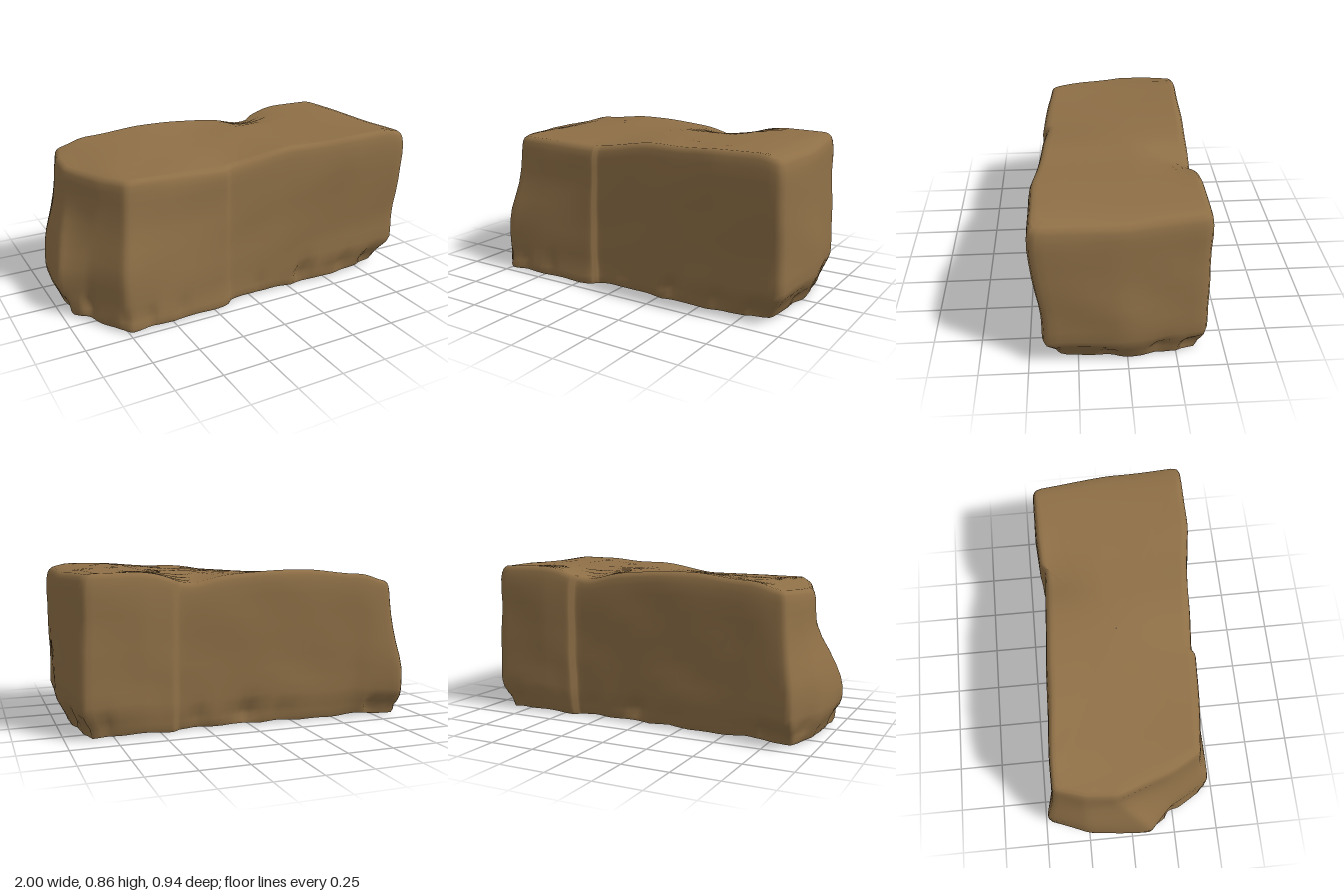
import * as THREE from 'three';

// Plan outlines [x, z] at the foot, the waist and the top, with matching corners.
const FOOT = [[-.76, .475], [-.5, .465], [-.165, .445], [-.125, .405], [.2, .4], [.6, .415], [.9, .355], [.935, 0], [.88, -.365],
  [.6, -.38], [.44, -.37], [.4, -.34], [0, -.36], [-.6, -.38], [-.88, -.41], [-.94, -.2], [-.96, .13], [-.87, .27]];
const WAIST = [[-.76, .455], [-.5, .45], [-.17, .435], [-.135, .405], [.2, .41], [.6, .43], [.975, .425], [1, .02], [.925, -.4],
  [.6, -.4], [.44, -.39], [.4, -.355], [0, -.375], [-.6, -.4], [-.885, -.48], [-.975, -.25], [-1.005, .1], [-.88, .23]];
const TOP = [[-.71, .375], [-.5, .4], [-.165, .42], [-.13, .40], [.2, .42], [.6, .47], [.975, .465], [.97, .05], [.91, -.4],
  [.6, -.405], [.44, -.395], [.4, -.365], [0, -.385], [-.6, -.41], [-.83, -.415], [-.88, -.25], [-.89, -.08], [-.8, .2]];
const N = 180;

// Resample an outline evenly between corners, softening each corner slightly.
function resample(points) {
  const per = N / points.length, raw = [];
  for (let i = 0; i < N; i++) {
    const k = Math.floor(i / per), f = (i % per) / per;
    const a = points[k], b = points[(k + 1) % points.length];
    raw.push([a[0] + (b[0] - a[0]) * f, a[1] + (b[1] - a[1]) * f]);
  }
  return raw.map((p, i) => {
    const a = raw[(i + N - 1) % N], b = raw[(i + 1) % N];
    return [0, 1].map(c => (a[c] + 2 * p[c] + b[c]) / 4);
  });
}

// Smooth deterministic unevenness, about -1 to 1, and chips along the lower edge.
const bump = (x, y, z) => (Math.sin(7 * x + 4 * y + 2 * z) + Math.sin(13 * x - 9 * y + 11 * z + 1)
  + Math.sin(19 * y - 5 * x - 8 * z + 2)) / 3;
const chips = (x, z) => Math.max(0, Math.sin(15 * x + 6 * z) * Math.sin(23 * z - 9 * x + 1) + .35 * Math.sin(41 * x + 31 * z));
const step = THREE.MathUtils.smoothstep;

// Height of the uneven upper face, with a hollow beside the step in the back.
function topHeight(x, z) {
  const back = THREE.MathUtils.clamp(.5 - z / .8, 0, 1);
  const left = .785 + back * (.03 * step(x, -.8, -.62) + .035 * step(x, -.65, -.3));
  const right = .84 + .02 * step(x, .35, .65) - .012 * back;
  return left + (right - left) * step(x, -.2, .25) - .02 * step(-x, .68, .85)
    - .025 * step(x, .84, .98) - .045 * Math.exp(-Math.pow((x - .33) / .13, 2)) * step(-z, .05, .36)
    + .005 * bump(x * .7, 0, z);
}

// Join closed rings of equal length; rings run counterclockwise seen from above.
function loft(rings) {
  const index = [];
  for (let r = 0; r < rings.length - 1; r++) for (let i = 0; i < N; i++) {
    const a = r * N + i, b = r * N + (i + 1) % N;
    index.push(a, b, b + N, a, b + N, a + N);
  }
  const geometry = new THREE.BufferGeometry();
  geometry.setAttribute('position', new THREE.Float32BufferAttribute(rings.flat(2), 3));
  geometry.setIndex(index);
  geometry.computeVertexNormals();
  return geometry;
}

export function createModel() {
  const foot = resample(FOOT), waist = resample(WAIST), top = resample(TOP);

  // One ring of the sides: t is the share of the height, inset rounds the edge.
  const sideRing = (t, inset) => foot.map((f, i) => {
    const from = t < .27 ? f : waist[i], to = t < .27 ? waist[i] : top[i];
    const k = t < .27 ? step(t, 0, .2) : step(t, .27, .85);
    let x = from[0] + (to[0] - from[0]) * k, z = from[1] + (to[1] - from[1]) * k;
    const low = Math.exp(-Math.pow((t - .07) / .07, 2));
    const cut = inset + .006 * bump(x, t, z) + .035 * low * chips(x, z);
    const length = Math.hypot(x / 2, z);
    x -= cut * x / 2 / length;
    z -= cut * z / length;
    const base = .01 + .009 * bump(2 * x, 0, 2 * z);
    return [x, base + t * (topHeight(x, z) - base), z];
  });
  const levels = [[0, .01], [.025, 0], [.06, 0], [.1, 0], [.15, 0], [.2, 0], [.28, 0], [.36, 0], [.45, 0], [.55, 0],
    [.65, 0], [.75, 0], [.85, 0], [.92, .003], [.965, .01], [.988, .02], [1, .038]];
  const sides = levels.map(([t, inset]) => sideRing(t, inset));

  // Upper face: rings shrinking to the middle.
  const rim = sides[sides.length - 1];
  const upper = [.95, .88, .75, .6, .45, .3, .15, .001].map(s =>
    rim.map(([x, , z]) => [x * s, topHeight(x * s, z * s), z * s]));

  // Underside: separate, so that the lower edge stays sharp.
  const under = [.001, .4, .8, 1].map(s => sides[0].map(([x, y, z]) => [x * s, s < 1 ? .008 : y, z * s]));

  const material = new THREE.MeshStandardMaterial({ color: 0x8f7047 });
  const group = new THREE.Group();
  group.name = 'stoneBlock';
  for (const [name, rings] of [['stoneBody', [...sides, ...upper]], ['underside', under]]) {
    const mesh = new THREE.Mesh(loft(rings), material);
    mesh.name = name;
    group.add(mesh);
  }
  return group;
}
